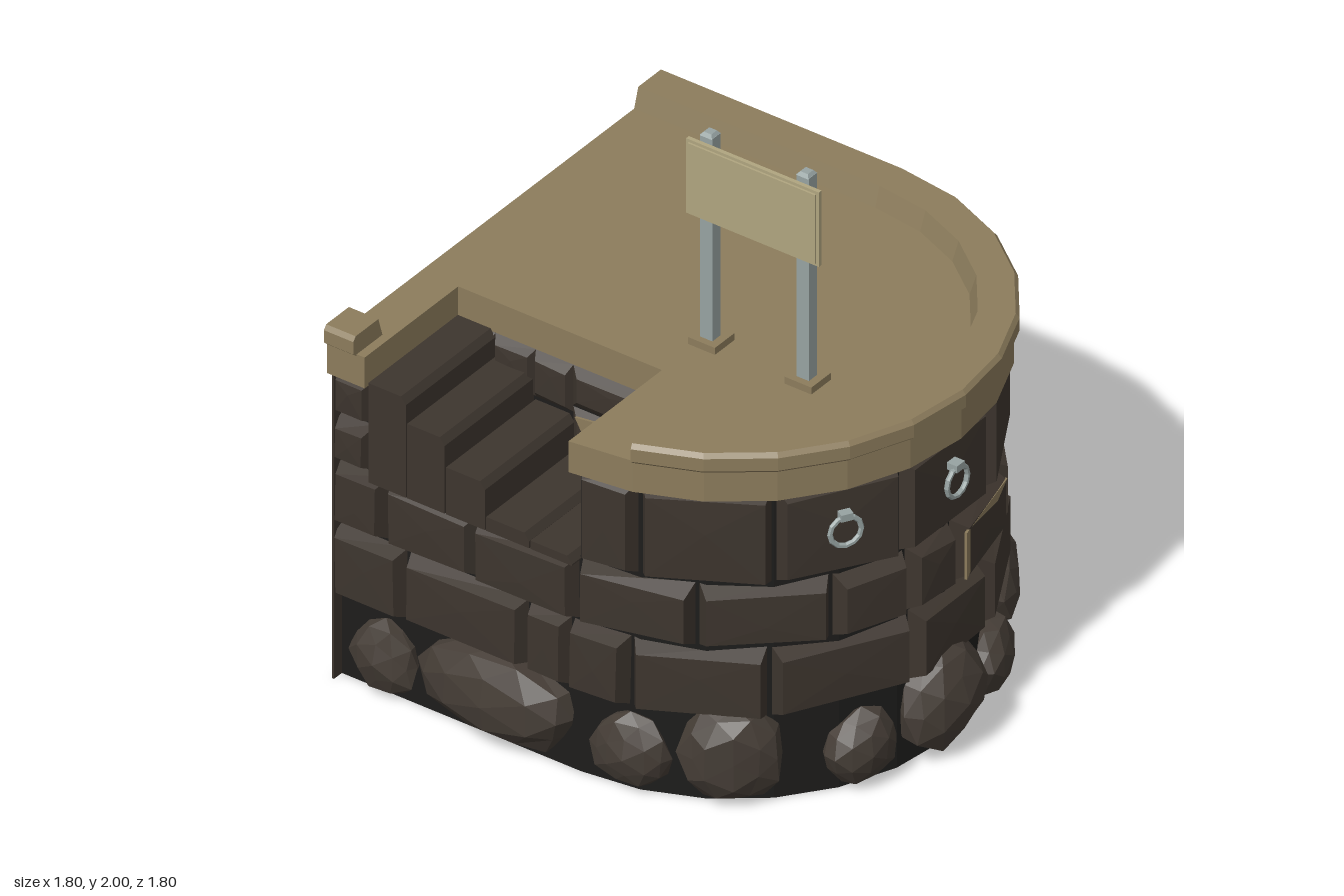
import * as THREE from 'three';

const mat = (name, color) => {
  const m = new THREE.MeshStandardMaterial({ color });
  m.name = name;
  return m;
};

export function createModel() {
  const group = new THREE.Group();
  const sand = mat('sandstone', 0x8c7c5c);
  const stone = mat('darkBrick', 0x3d352e);
  const rockMat = mat('boulder', 0x453d36);
  const mortar = mat('mortar', 0x1d1c1b);
  const metal = mat('metal', 0x97a3a2);
  const board = mat('signBoard', 0xb0a57f);
  [sand, stone, rockMat, mortar, metal, board].forEach(m => { m.flatShading = true; });

  let seed = 7;
  const rnd = (a, b) => {
    seed = (seed * 16807) % 2147483647;
    return a + (b - a) * seed / 2147483647;
  };
  const add = (name, geo, material, x = 0, y = 0, z = 0, parent = group) => {
    const m = new THREE.Mesh(geo, material);
    m.name = name;
    m.position.set(x, y, z);
    parent.add(m);
    return m;
  };
  const box = (name, material, w, h, d, x, y, z, parent) =>
    add(name, new THREE.BoxGeometry(w, h, d), material, x, y, z, parent);

  // Outline position: t < 0 front straight (x = t/100), 0..180 degrees of arc, > 180 back straight
  const wall = (t, r, y = 0) => {
    if (t < 0) return new THREE.Vector3(t / 100, y, r);
    if (t > 180) return new THREE.Vector3((180 - t) / 100, y, -r);
    const a = t * Math.PI / 180;
    return new THREE.Vector3(r * Math.sin(a), y, r * Math.cos(a));
  };
  const wallAngle = t => THREE.MathUtils.clamp(t, 0, 180) * Math.PI / 180;
  const polyGeo = faces => {
    const v = [];
    for (const f of faces)
      for (let i = 1; i < f.length - 1; i++)
        for (const p of [f[0], f[i], f[i + 1]]) v.push(p.x, p.y, p.z);
    const g = new THREE.BufferGeometry();
    g.setAttribute('position', new THREE.Float32BufferAttribute(v, 3));
    g.computeVertexNormals();
    return g;
  };

  // Horizontal slab with the rounded end, optionally notched for the stairs
  const slab = (name, material, r, y0, y1, notch) => {
    const pts = [[-0.9, r]];
    if (notch) pts.push([-0.76, r], [-0.76, 0.37], [0, 0.37]);
    for (let t = 0; t <= 180; t += 15) {
      const p = wall(t, r);
      pts.push([p.x, p.z]);
    }
    pts.push([-0.9, -r]);
    const shape = new THREE.Shape(pts.map(([x, z]) => new THREE.Vector2(x, -z)));
    const geo = new THREE.ExtrudeGeometry(shape, { depth: y1 - y0, bevelEnabled: false });
    add(name, geo.rotateX(-Math.PI / 2), material, 0, y0, 0);
  };
  slab('lowerCore', mortar, 0.78, 0, 0.78, false);
  slab('upperCore', mortar, 0.78, 0.78, 1.12, true);
  slab('deckSlab', sand, 0.845, 1.12, 1.232, true);
  box('flatEndWall', stone, 0.008, 1.12, 1.64, -0.897, 0.56, 0);

  // Bevelled brick spanning from at(0) to at(1), with a slightly bulging faceted face
  const brick = (name, at, y0, y1, depth, du) => {
    const b = 0.028;
    const j = () => rnd(-0.006, 0.006);
    const base = [at(0, 0, y0), at(1, 0, y0), at(1, 0, y1), at(0, 0, y1)];
    const face = [
      at(du, depth, y0 + b + j()), at(1 - du, depth, y0 + b + j()),
      at(1 - du, depth, y1 - b + j()), at(du, depth, y1 - b + j())];
    const c = face.reduce((s, p) => s.add(p), new THREE.Vector3()).multiplyScalar(0.25);
    const out = new THREE.Vector3().subVectors(base[1], base[0]).cross(new THREE.Vector3(0, 1, 0)).normalize();
    c.addScaledVector(out, rnd(0.001, 0.006));
    c.y += rnd(-0.03, 0.03);
    const faces = [];
    for (let i = 0; i < 4; i++) {
      const k = (i + 1) % 4;
      faces.push([base[i], base[k], face[k], face[i]], [face[i], face[k], c]);
    }
    add(name, polyGeo(faces), stone);
  };
  const wallBrick = (t0, t1, y0, y1) => {
    const a = t0 + (t0 > -90 ? 0.4 : 0), b = t1 - (t1 < 270 ? 0.4 : 0);
    const tilt = t0 < 0 ? rnd(-0.02, 0.02) : 0;
    brick('wallBrick', (u, d, y) => wall(a + (b - a) * u + (y - y0 - 0.1) * tilt * 100, 0.775 + d, y),
      y0, y1, rnd(0.05, 0.058), Math.min(0.2, 2 / (t1 - t0)));
  };
  const rows = [
    [0.3, 0.55, [-90, -64, -19, -3, 13, 44, 78, 104, 134, 160, 185, 215, 245, 270]],
    [0.555, 0.78, [-90, -71, -38, 0, 28, 58, 77, 92, 117, 147, 172, 200, 235, 270]],
    [0.785, 1.12, [0, 15, 45, 75, 105, 135, 165, 180, 210, 240, 270]]];
  for (const [y0, y1, edges] of rows)
    for (let i = 0; i < edges.length - 1; i++) wallBrick(edges[i], edges[i + 1], y0, y1);
  wallBrick(-90, -76, 0.785, 0.95);
  wallBrick(-90, -76, 0.955, 1.12);

  // Bricks on the inner wall behind the stairs
  for (const [x0, x1, y0, y1] of [[-0.76, -0.62, 0.95, 1.12], [-0.62, -0.47, 0.95, 1.12], [-0.47, -0.33, 0.95, 1.12],
    [-0.33, -0.03, 0.975, 1.12], [-0.33, -0.03, 0.81, 0.97]])
    brick('stairWallBrick', (u, d, y) => new THREE.Vector3(x0 + (x1 - x0) * u, y, 0.37 + d), y0, y1, 0.025, 0.1);

  // Bare sandstone patches
  const patch = (pts, x, y, z, ry) => {
    const geo = new THREE.ExtrudeGeometry(new THREE.Shape(pts.map(p => new THREE.Vector2(...p))),
      { depth: 0.008, bevelEnabled: false });
    add('barePatch', geo, sand, x, y, z).rotation.y = ry;
  };
  patch([[-0.12, 0.06], [-0.07, -0.03], [0.11, -0.06], [0.12, 0.05], [-0.04, 0.07]], -0.18, 0.9, 0.397, 0);
  const pp = wall(104, 0.813);
  patch([[-0.16, 0.085], [-0.16, -0.085], [-0.09, -0.05], [-0.03, 0.01], [0.06, 0.04], [0.16, 0.085]],
    pp.x, 0.665, pp.z, wallAngle(104));

  // Steps descending towards +x, each with a chamfered nose
  [[-0.76, -0.62, 1.13], [-0.615, -0.475, 1.04], [-0.47, -0.325, 0.94], [-0.32, -0.16, 0.82], [-0.155, 0, 0.8]]
    .forEach(([x0, x1, top]) => {
      const s = new THREE.Shape([[x0, 0.77], [x1, 0.77], [x1, top - 0.025], [x1 - 0.018, top], [x0, top]]
        .map(p => new THREE.Vector2(...p)));
      add('step', new THREE.ExtrudeGeometry(s, { depth: 0.455, bevelEnabled: false }), stone, 0, 0, 0.372);
    });

  // Raised rim: one cross-section swept along the outline
  const rim = stations => {
    const prof = [[0.712, 1.225], [0.845, 1.225], [0.862, 1.24], [0.862, 1.285], [0.85, 1.3], [0.735, 1.3]];
    const rings = stations.map(t => prof.map(([r, y]) => wall(t, r, y)));
    const faces = [[...rings[0]], [...rings[rings.length - 1]].reverse()];
    // orient the end caps away from the sweep
    const n = new THREE.Vector3().subVectors(rings[0][1], rings[0][0])
      .cross(new THREE.Vector3().subVectors(rings[0][3], rings[0][0]));
    if (n.dot(new THREE.Vector3().subVectors(rings[1][0], rings[0][0])) > 0) faces.forEach(f => f.reverse());
    for (let i = 0; i < rings.length - 1; i++)
      for (let k = 0; k < prof.length; k++) {
        const m = (k + 1) % prof.length;
        faces.push([rings[i][k], rings[i + 1][k], rings[i + 1][m], rings[i][m]]);
      }
    add('rim', polyGeo(faces), sand);
  };
  rim([15, 30, 45, 60, 75, 90, 105, 120, 135, 150, 165, 180, 270]);
  rim([-90, -79]);

  // Boulders around the foot: [t, width, height, thickness]
  for (const [t, w, h, d] of [[-72, 0.26, 0.27, 0.07], [-29, 0.6, 0.35, 0.11], [13, 0.27, 0.28, 0.07],
    [36, 0.34, 0.35, 0.09], [65, 0.26, 0.27, 0.08], [88, 0.38, 0.38, 0.11], [112, 0.25, 0.27, 0.08],
    [140, 0.34, 0.35, 0.1], [167, 0.28, 0.33, 0.09], [194, 0.28, 0.3, 0.08], [242, 0.44, 0.36, 0.11]]) {
    const geo = new THREE.IcosahedronGeometry(1, 1);
    const pos = geo.attributes.position, moved = new Map();
    for (let i = 0; i < pos.count; i++) {
      const v = new THREE.Vector3().fromBufferAttribute(pos, i);
      const key = v.toArray().map(n => Math.round(n * 100)).join();
      if (!moved.has(key)) moved.set(key, rnd(0.86, 1.06));
      v.multiplyScalar(moved.get(key));
      pos.setXYZ(i, v.x * w / 2, Math.max(v.y * h / 2, 0.005 - h / 2), v.z * d);
    }
    geo.computeVertexNormals();
    const p = wall(t, 0.79, h / 2 + 0.005);
    add('boulder', geo, rockMat, p.x, p.y, p.z).rotation.y = wallAngle(t);
  }

  // Mooring rings
  for (const t of [60, 90, 150, 171, 237]) {
    const ring = new THREE.Group();
    ring.name = 'mooringRing';
    ring.position.copy(wall(t, t % 30 ? 0.83 : 0.812, 0.96));
    ring.rotation.y = wallAngle(t);
    add('ring', new THREE.TorusGeometry(0.052, 0.009, 6, 12), metal, 0, 0, 0.018, ring);
    box('ringBracket', metal, 0.04, 0.025, 0.04, 0, 0.056, 0.012, ring);
    group.add(ring);
  }

  // Sign on two posts
  for (const x of [0.03, 0.39]) {
    box('postFoot', sand, 0.1, 0.03, 0.1, x, 1.242, 0.16);
    box('signPost', metal, 0.046, 0.75, 0.042, x, 1.615, 0.165);
    add('postCap', new THREE.CylinderGeometry(0.02, 0.0325, 0.012, 4).rotateY(Math.PI / 4), metal, x, 1.994, 0.165);
  }
  box('signBoard', board, 0.495, 0.27, 0.014, 0.213, 1.832, 0.193);
  box('signFace', board, 0.475, 0.25, 0.008, 0.213, 1.832, 0.203);
  return group;
}
